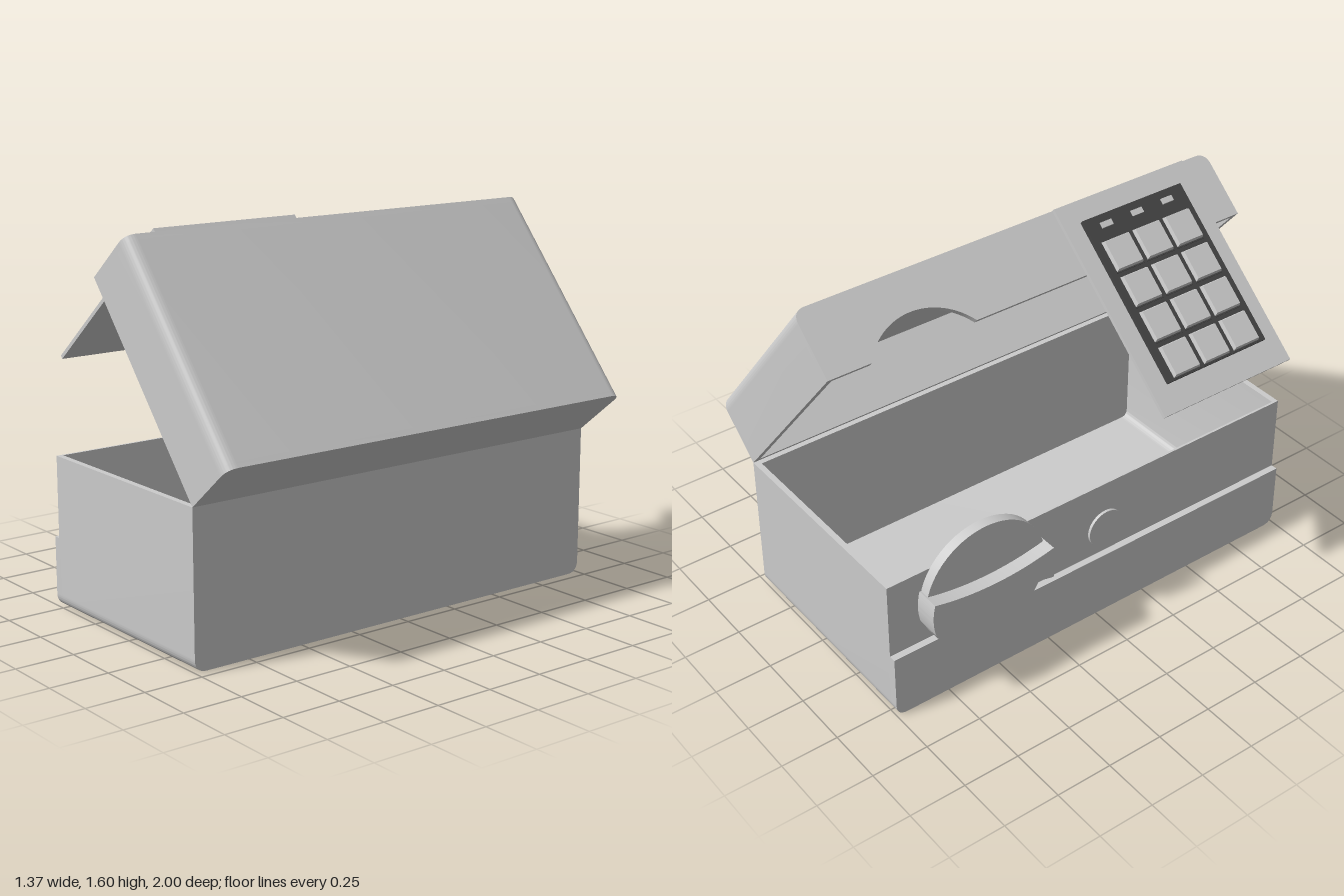
import * as THREE from 'three';
import { toCreasedNormals } from 'three/addons/utils/BufferGeometryUtils.js';

const grey = new THREE.MeshStandardMaterial({ color: 0xcccccc });
const dark = new THREE.MeshStandardMaterial({ color: 0x444444 });

// Profile drawn in (z, y), extruded from x0 towards -x
function slab(name, shape, x0, depth, parent) {
  const geo = new THREE.ExtrudeGeometry(shape, { depth, bevelEnabled: false, curveSegments: 24 });
  geo.rotateY(-Math.PI / 2);
  const mesh = new THREE.Mesh(toCreasedNormals(geo, 0.6), grey);
  mesh.name = name;
  mesh.position.x = x0;
  parent.add(mesh);
  return mesh;
}

function block(name, size, pos, parent, material = grey) {
  const mesh = new THREE.Mesh(new THREE.BoxGeometry(...size), material);
  mesh.name = name;
  mesh.position.set(...pos);
  parent.add(mesh);
  return mesh;
}

// Disc whose axis runs along x
function disc(name, radius, x0, x1, y, z, parent) {
  const geo = new THREE.CylinderGeometry(radius, radius, x1 - x0, 64).rotateZ(Math.PI / 2);
  const mesh = new THREE.Mesh(geo, grey);
  mesh.name = name;
  mesh.position.set((x0 + x1) / 2, y, z);
  parent.add(mesh);
}

// Path up one side, over two rounded corners and down: end is the rounded side
function trace(path, w, open, end, r) {
  const s = Math.sign(end - open);
  path.lineTo(w, open);
  path.lineTo(w, end - s * r);
  path.quadraticCurveTo(w, end, w - Math.sign(w) * r, end);
  path.lineTo(-w + Math.sign(w) * r, end);
  path.quadraticCurveTo(-w, end, -w, end - s * r);
  path.lineTo(-w, open);
}
function solidProfile(open, end) {
  const s = new THREE.Shape();
  s.moveTo(1, open);
  trace(s, 1, open, end, 0.055);
  s.closePath();
  return s;
}
function shellProfile(open, end, t) {
  const s = new THREE.Shape();
  s.moveTo(1, open);
  trace(s, 1, open, end, 0.055);
  trace(s, -(1 - t), open, end - Math.sign(end - open) * t, 0.035);
  s.closePath();
  return s;
}

const HINGE_X = 0.455, RIM = 0.64, LID_H = 0.29, WALL = 0.025;
const DIAL_Y = 0.475, DIAL_Z = -0.57;

function makeBase() {
  const base = new THREE.Group();
  base.name = 'base';
  slab('tray', shellProfile(RIM, 0, WALL), HINGE_X - WALL, 0.935, base);
  slab('backWall', solidProfile(RIM, 0), HINGE_X, WALL, base);
  slab('upperFrontWall', solidProfile(RIM, 0), -0.505, 0.01, base);
  slab('lowerFrontPanel', solidProfile(0.295, 0), -0.515, 0.03, base);
  return base;
}

// Round latch with a waisted grip
function makeDial() {
  const dial = new THREE.Group();
  dial.name = 'dial';
  disc('dialDisc', 0.285, -0.56, -0.515, DIAL_Y, DIAL_Z, dial);
  const R = 0.293, a = Math.asin(0.075 / R), ex = R * Math.cos(a);
  const s = new THREE.Shape();
  s.moveTo(ex, -0.075);
  s.absarc(0, 0, R, -a, a, false);
  s.quadraticCurveTo(0, 0.005, -ex, 0.075);
  s.absarc(0, 0, R, Math.PI - a, Math.PI + a, false);
  s.quadraticCurveTo(0, -0.005, ex, -0.075);
  const grip = slab('dialGrip', s, -0.515, 0.105, dial);
  grip.position.y = DIAL_Y;
  grip.position.z = DIAL_Z;
  return dial;
}

// Key with a tapered top, facing -x
function makeKey(y, z, parent) {
  block('keyBase', [0.006, 0.145, 0.146], [-1.036, y, z], parent, dark);
  const geo = new THREE.CylinderGeometry(0.122 / Math.SQRT2, 0.134 / Math.SQRT2, 0.018, 4);
  geo.rotateY(Math.PI / 4).rotateZ(Math.PI / 2);
  const key = new THREE.Mesh(toCreasedNormals(geo, 0.3), grey);
  key.name = 'key';
  key.position.set(-1.047, y, z);
  parent.add(key);
}

// Hanging panel carrying the number pad, in the lid's closed frame
function makeKeypad() {
  const pad = new THREE.Group();
  pad.name = 'keypad';
  block('keypadPlate', [0.016, 0.93, 0.665], [-1.008, -0.175, 0.5325], pad);
  block('keypadBacking', [0.02, 0.726, 0.51], [-1.024, -0.163, 0.535], pad, dark);
  for (let col = 0; col < 3; col++) {
    const z = 0.375 + col * 0.157;
    for (let row = 0; row < 4; row++) makeKey(-0.45 + row * 0.158, z, pad);
    block('indicator', [0.008, 0.024, 0.055], [-1.037, 0.155, z], pad);
  }
  return pad;
}

function makeLid() {
  const lid = new THREE.Group();
  lid.name = 'lid';
  slab('lidShell', shellProfile(0, LID_H, WALL), -WALL, 1 - 2 * WALL, lid);
  slab('lidHingeWall', solidProfile(0, LID_H), 0, WALL, lid);
  // Front wall with an arched notch that clears the dial
  const R = 0.29, cy = DIAL_Y - RIM, a = Math.asin(-cy / R);
  const s = new THREE.Shape();
  s.moveTo(1, 0);
  trace(s, 1, 0, LID_H, 0.055);
  s.lineTo(DIAL_Z - R * Math.cos(a), 0);
  s.absarc(DIAL_Z, cy, R, Math.PI - a, a, true);
  s.closePath();
  slab('lidFrontWall', s, -1 + WALL, WALL, lid);
  lid.add(makeKeypad());
  lid.position.set(HINGE_X, RIM, 0);
  lid.rotation.z = THREE.MathUtils.degToRad(-50);
  return lid;
}

export function createModel() {
  const model = new THREE.Group();
  model.name = 'lockBox';
  model.add(makeBase(), makeDial(), makeLid());
  disc('roundButton', 0.085, -0.572, -0.56, 0.465, 0.02, model);
  return model;
}
